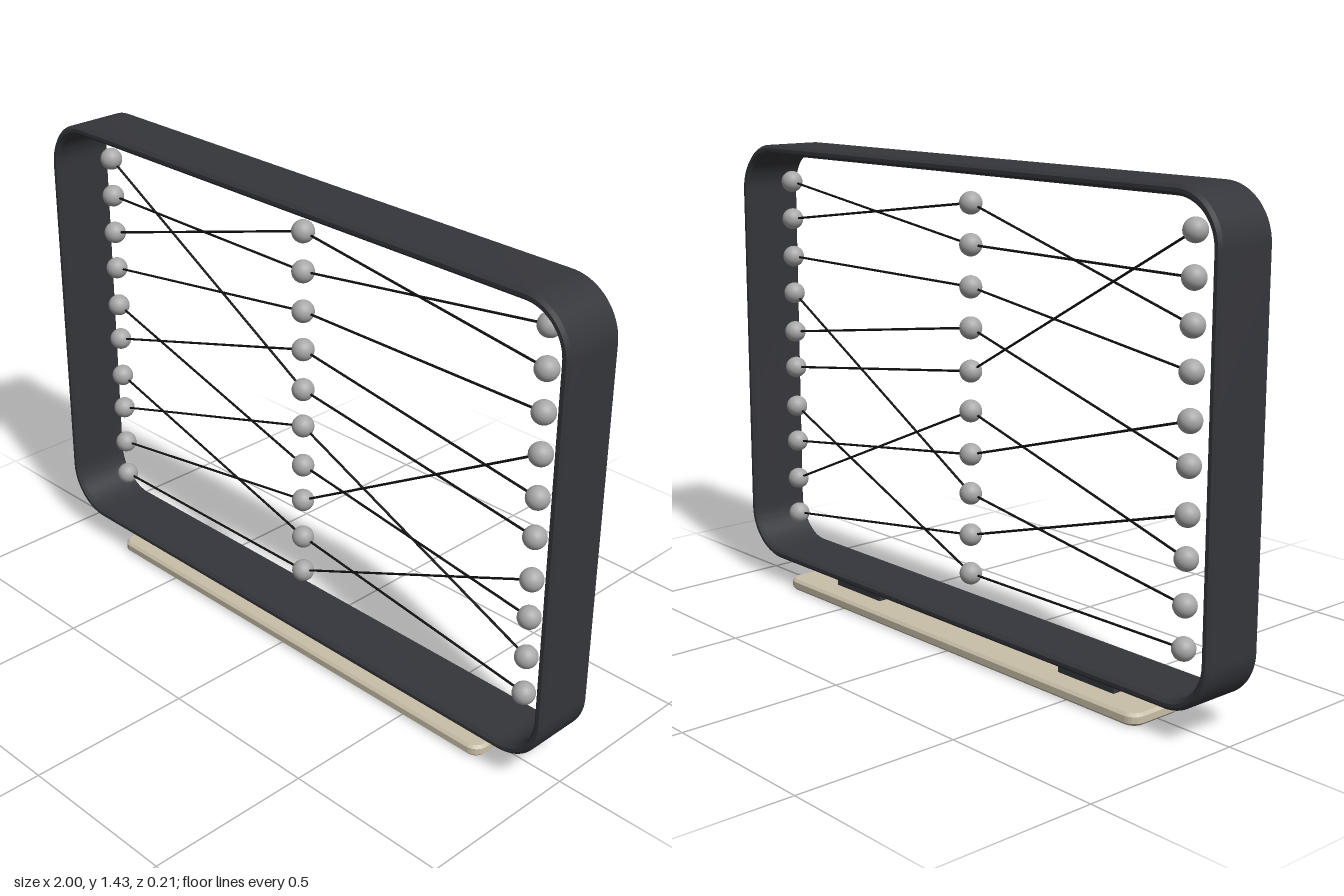
import * as THREE from 'three';
import { toCreasedNormals } from 'three/addons/utils/BufferGeometryUtils.js';

const paint = (color) => new THREE.MeshStandardMaterial({ color });

// Rounded rectangle centred on the origin
function roundedRect(path, w, h, r) {
  const x = w / 2, y = h / 2;
  path.moveTo(-x + r, -y);
  path.lineTo(x - r, -y);
  path.absarc(x - r, -y + r, r, -Math.PI / 2, 0);
  path.lineTo(x, y - r);
  path.absarc(x - r, y - r, r, 0, Math.PI / 2);
  path.lineTo(-x + r, y);
  path.absarc(-x + r, y - r, r, Math.PI / 2, Math.PI);
  path.lineTo(-x, -y + r);
  path.absarc(-x + r, -y + r, r, Math.PI, Math.PI * 1.5);
  return path;
}

// Extrusion with chamfered edges, centred on its depth
function chamferedExtrude(shape, depth, bevel) {
  const g = new THREE.ExtrudeGeometry(shape, {
    depth: depth - 2 * bevel, bevelEnabled: true, bevelSegments: 1,
    bevelSize: bevel, bevelThickness: bevel, curveSegments: 12,
  });
  g.translate(0, 0, -depth / 2 + bevel);
  return toCreasedNormals(g, 0.5);
}

export function createModel() {
  const model = new THREE.Group();
  const dark = paint(0x35363b);
  const beige = paint(0xc8bfa8);
  const grey = paint(0xa8a8a8);
  const black = paint(0x111111);

  const add = (name, geometry, material, x = 0, y = 0, z = 0, parent = model) => {
    const mesh = new THREE.Mesh(geometry, material);
    mesh.name = name;
    mesh.position.set(x, y, z);
    parent.add(mesh);
    return mesh;
  };

  // Hollow rounded frame
  const W = 2, H = 1.345, R = 0.15, wall = 0.028, b = 0.009;
  const ring = roundedRect(new THREE.Shape(), W - 2 * b, H - 2 * b, R - b);
  const inset = wall - b;
  ring.holes.push(roundedRect(new THREE.Path(), W - 2 * inset, H - 2 * inset, R - inset));
  add('frame', chamferedExtrude(ring, 0.196, b), dark, 0, 0.082 + H / 2, 0.005);

  // Base plate with rounded corners
  const bb = 0.008;
  const plate = roundedRect(new THREE.Shape(), 1.548 - 2 * bb, 0.198 - 2 * bb, 0.04 - bb);
  add('basePlate', chamferedExtrude(plate, 0.035, bb).rotateX(-Math.PI / 2), beige, 0.012, 0.0175, -0.003);

  // Feet joining frame and base
  for (const s of [-1, 1]) {
    add(s > 0 ? 'leftFoot' : 'rightFoot', new THREE.BoxGeometry(0.216, 0.062, 0.058), dark, s * 0.508, 0.061, 0.001);
  }

  // Three columns of beads
  const columns = [-0.837, 0, 0.858];
  const rows = [1.308, 1.19, 1.07, 0.952, 0.826, 0.709, 0.58, 0.463, 0.337, 0.219];
  const beads = new THREE.Group();
  beads.name = 'beads';
  model.add(beads);
  const ball = new THREE.SphereGeometry(0.033, 24, 16);
  for (const x of columns) for (const y of rows) add('bead', ball, grey, x, y, 0, beads);

  // Cords: for each bead in a column, the row it meets in the next column
  const links = [
    [4, 1, 0, 2, 6, 3, 8, 5, 7, 9],
    [1, 0, 2, 4, 5, 8, 7, 3, 9, 6],
  ];
  const cords = new THREE.Group();
  cords.name = 'cords';
  model.add(cords);
  links.forEach((targets, c) => targets.forEach((to, from) => {
    const a = new THREE.Vector3(columns[c], rows[from], 0);
    const e = new THREE.Vector3(columns[c + 1], rows[to], 0);
    const dir = e.clone().sub(a);
    const mid = a.clone().add(e).multiplyScalar(0.5);
    const cord = add('cord', new THREE.CylinderGeometry(0.0035, 0.0035, dir.length(), 8), black, mid.x, mid.y, 0, cords);
    cord.quaternion.setFromUnitVectors(new THREE.Vector3(0, 1, 0), dir.normalize());
  }));

  return model;
}
